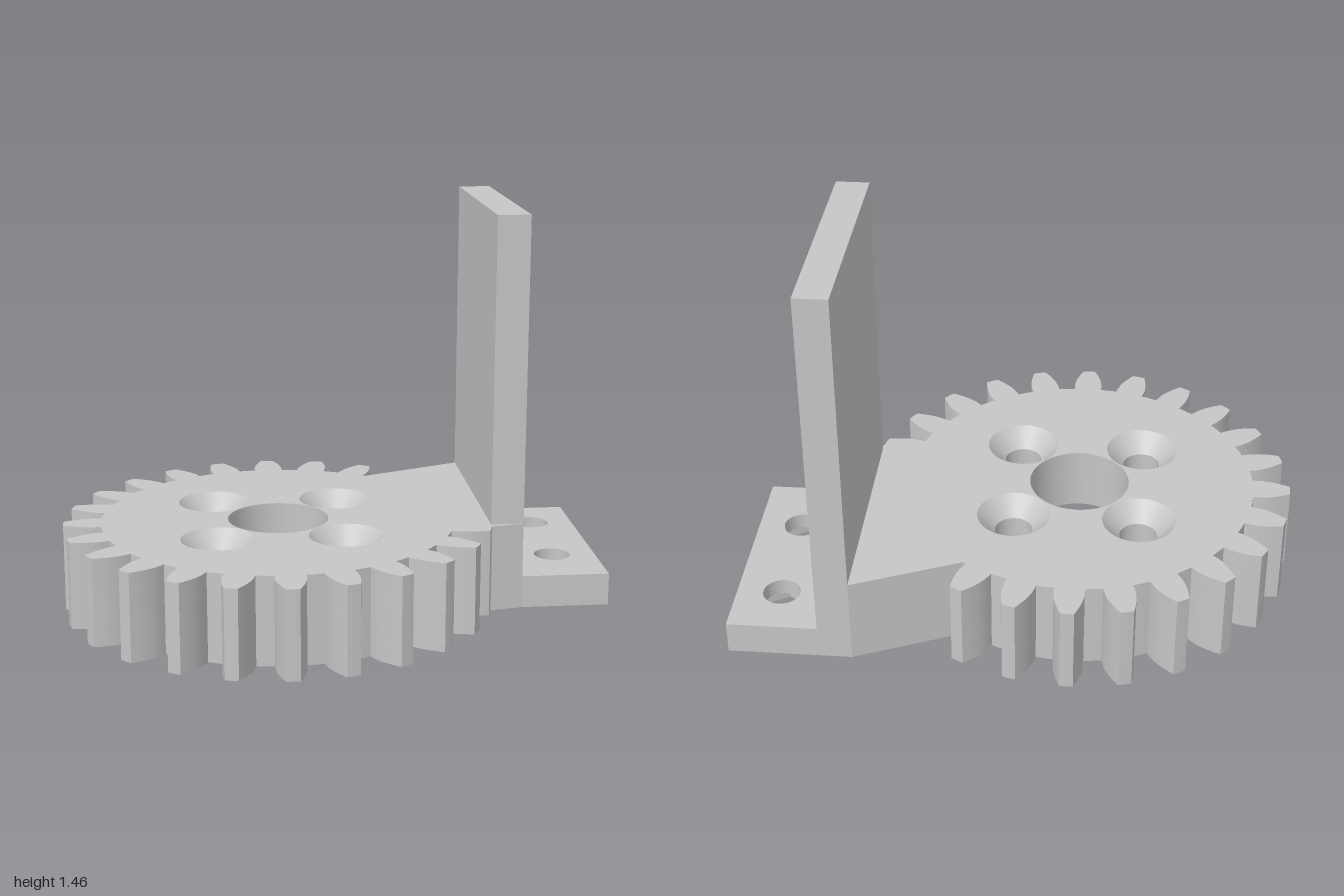
import * as THREE from 'three';
import { toCreasedNormals } from 'three/addons/utils/BufferGeometryUtils.js';

const CX = -0.213;              // gear axis
const TOP = 0.323;              // gear thickness
const SINK = 0.07;              // countersink depth
const RECESS = 0.085;           // depth of the round pocket underneath
const FOOT = 0.12;              // foot thickness
const Z0 = -0.692, Z1 = 0.155;  // bracket extent in z
const P0 = 0.555, P1 = 0.675;   // upright plate extent in x

const grey = new THREE.MeshStandardMaterial({ color: 0xc6c6c6 });
grey.name = 'grey plastic';

// Plan coordinates (x, z) to shape coordinates
const pt = (x, z) => new THREE.Vector2(x, -z);

// Hole outline, wound opposite to the outer outlines
const circle = (x, z, r, n = 48, start = 0) => {
  const pts = [];
  for (let i = 0; i < n; i++) {
    const a = start - (i / n) * Math.PI * 2;
    pts.push(pt(x + r * Math.cos(a), z + r * Math.sin(a)));
  }
  return new THREE.Path(pts);
};

// Vertical slab from y0 to y1 with holes
function slab(name, outline, holes, y0, y1) {
  const shape = new THREE.Shape(outline);
  shape.holes = holes;
  let geo = new THREE.ExtrudeGeometry(shape, { depth: y1 - y0, bevelEnabled: false });
  geo.rotateX(-Math.PI / 2);
  geo.translate(0, y0, 0);
  geo = toCreasedNormals(geo, 0.45);
  const mesh = new THREE.Mesh(geo, grey);
  mesh.name = name;
  return mesh;
}

// Twenty teeth of a 24-tooth gear, closed by the web that joins the bracket
function gearOutline() {
  const flank = [[0.648, 0.053], [0.67, 0.054], [0.69, 0.053], [0.715, 0.049],
    [0.74, 0.042], [0.765, 0.033], [0.786, 0.024]];
  const pts = [];
  const add = (a, r, w) => pts.push(pt(
    CX + r * Math.cos(a) - w * Math.sin(a),
    r * Math.sin(a) + w * Math.cos(a)));
  const step = Math.PI / 12;
  for (let i = 1; i <= 20; i++) {
    const a = i * step;
    if (i > 1) flank.forEach(([r, w]) => add(a, r, -w));
    else add(a, 0.786, -0.024);
    add(a, 0.787, 0);
    [...flank].reverse().forEach(([r, w]) => add(a, r, w));
    if (i < 20) add(a + step / 2, 0.65, 0);
  }
  pts.push(pt(0.17, -0.53), pt(P0, Z0), pt(P0, Z1), pt(P1, Z1), pt(P0, 0.178));
  return pts;
}

export function createModel() {
  const model = new THREE.Group();
  model.name = 'gearBracket';

  // Gear in three layers: pocket rim, drilled core, countersunk top
  const gear = new THREE.Group();
  gear.name = 'gear';
  const outline = gearOutline();
  const screws = [];
  for (const sx of [-1, 1]) for (const sz of [-1, 1]) screws.push([CX + sx * 0.229, sz * 0.229]);
  const drilled = (r) => [circle(CX, 0, 0.185, 64), ...screws.map(([x, z]) => circle(x, z, r))];
  gear.add(
    slab('gearPocketRim', outline, [circle(CX, 0, 0.515, 80)], 0, RECESS),
    slab('gearCore', outline, drilled(0.069), RECESS, TOP - SINK),
    slab('gearTop', outline, drilled(0.134), TOP - SINK, TOP));

  // Conical screw seats, facing inward
  const cone = new THREE.LatheGeometry(
    [new THREE.Vector2(0.134, SINK), new THREE.Vector2(0.069, 0)], 48);
  for (const [x, z] of screws) {
    const seat = new THREE.Mesh(cone, grey);
    seat.name = 'countersink';
    seat.position.set(x, TOP - SINK, z);
    gear.add(seat);
  }
  model.add(gear);

  // Upright plate
  const plate = new THREE.Mesh(new THREE.BoxGeometry(P1 - P0, 1.455, Z1 - Z0), grey);
  plate.name = 'uprightPlate';
  plate.position.set((P0 + P1) / 2, 1.455 / 2, (Z0 + Z1) / 2);
  model.add(plate);

  // Foot with bolt holes above hexagonal nut pockets
  const rect = [pt(P1, Z0), pt(1, Z0), pt(1, Z1), pt(P1, Z1)];
  const bolts = [-0.495, -0.088];
  model.add(
    slab('footNutPockets', rect, bolts.map((z) => circle(0.837, z, 0.122, 6, Math.PI / 6)), 0, FOOT / 2),
    slab('footTop', rect, bolts.map((z) => circle(0.837, z, 0.068)), FOOT / 2, FOOT));

  return model;
}
